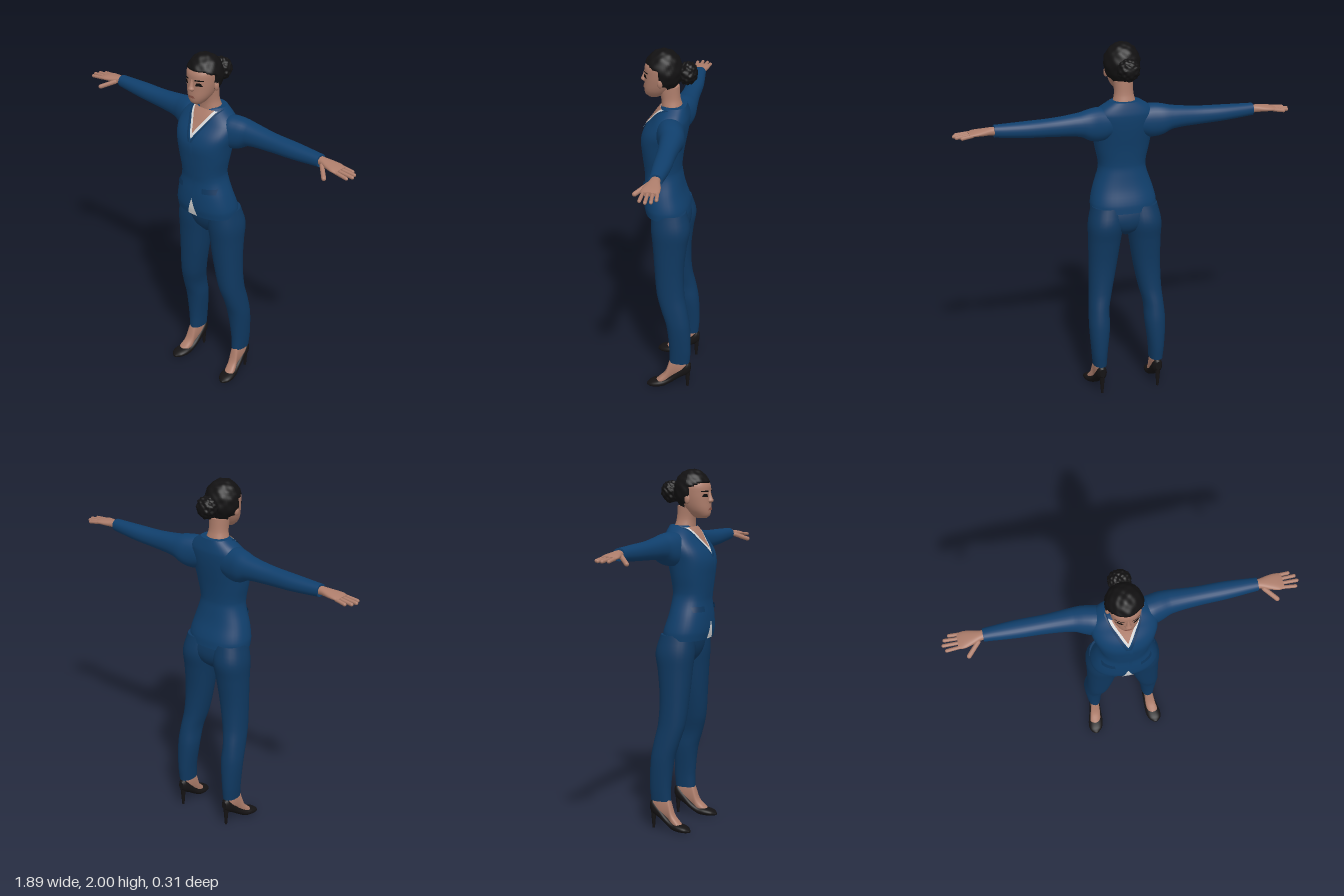
import * as THREE from 'three';

const mat = (name, color, side = THREE.FrontSide) => {
  const m = new THREE.MeshStandardMaterial({ color, side });
  m.name = name;
  return m;
};

// Smooth interpolation of cross-section rows [t, uMin, uMax, vMin, vMax]
function sample(rows, t) {
  let i = 0;
  while (i < rows.length - 2 && t > rows[i + 1][0]) i++;
  const a = rows[i], b = rows[i + 1], p = rows[Math.max(i - 1, 0)], q = rows[Math.min(i + 2, rows.length - 1)];
  const h = b[0] - a[0], s = THREE.MathUtils.clamp((t - a[0]) / h, 0, 1), s2 = s * s, s3 = s2 * s;
  return a.map((_, k) => {
    const ma = (b[k] - p[k]) / (b[0] - p[0]) * h, mb = (q[k] - a[k]) / (q[0] - a[0]) * h;
    return (2 * s3 - 3 * s2 + 1) * a[k] + (s3 - 2 * s2 + s) * ma + (3 * s2 - 2 * s3) * b[k] + (s3 - s2) * mb;
  });
}

// Loft directions: u and v are the two cross-section axes
const alongY = (t, u, v) => [u, t, v];
const alongX = (t, u, v) => [t, v, u];
const alongZ = (t, u, v) => [v, u, t];

// Closed body through superelliptic sections, with capped ends
function loft(rows, map, pow = 2.2, n = 28, sub = 4) {
  const pos = [], idx = [], rings = [];
  const ring = (t, k = 1) => {
    const [, u0, u1, v0, v1] = sample(rows, t);
    rings.push(pos.length / 3);
    for (let j = 0; j < n; j++) {
      const a = j / n * Math.PI * 2, c = Math.cos(a), s = Math.sin(a);
      const u = (u0 + u1) / 2 + k * (u1 - u0) / 2 * Math.sign(c) * Math.abs(c) ** (2 / pow);
      const v = (v0 + v1) / 2 + k * (v1 - v0) / 2 * Math.sign(s) * Math.abs(s) ** (2 / pow);
      pos.push(...map(t, u, v));
    }
  };
  const join = (r0, r1) => {
    for (let j = 0; j < n; j++) {
      const k = (j + 1) % n;
      idx.push(r0 + j, r1 + j, r0 + k, r1 + j, r1 + k, r0 + k);
    }
  };
  const t0 = rows[0][0], t1 = rows[rows.length - 1][0];
  ring(t0, 0.001); ring(t0);
  ring(t0);
  for (let i = 0; i < rows.length - 1; i++)
    for (let s = 1; s <= sub; s++) ring(THREE.MathUtils.lerp(rows[i][0], rows[i + 1][0], s / sub));
  ring(t1); ring(t1, 0.001);
  for (let i = 0; i < rings.length - 1; i++)
    if (i !== 1 && i !== rings.length - 3) join(rings[i], rings[i + 1]);
  const g = new THREE.BufferGeometry();
  g.setAttribute('position', new THREE.Float32BufferAttribute(pos, 3));
  g.setIndex(idx);
  g.computeVertexNormals();
  return g;
}

// Front surface height of an upright loft
function frontZ(rows, x, y, pow) {
  const [, u0, u1, v0, v1] = sample(rows, y);
  const k = Math.min(Math.abs(x - (u0 + u1) / 2) / ((u1 - u0) / 2), 0.99);
  return (v0 + v1) / 2 + (v1 - v0) / 2 * (1 - k ** pow) ** (1 / pow);
}

// Thin plate that follows the front of a loft between two edge functions of y
function patch(rows, pow, y0, y1, left, right, off, n = 12) {
  const g = new THREE.PlaneGeometry(1, 1, n, n), p = g.attributes.position;
  for (let i = 0; i < p.count; i++) {
    const s = p.getY(i) + 0.5, y = THREE.MathUtils.lerp(y0, y1, s);
    const x = THREE.MathUtils.lerp(left(s), right(s), p.getX(i) + 0.5);
    p.setXYZ(i, x, y, frontZ(rows, x, y, pow) + off);
  }
  g.computeVertexNormals();
  return g;
}

function mirrored(geo) {
  const g = geo.clone().scale(-1, 1, 1), ix = g.index;
  for (let i = 0; i < ix.count; i += 3) {
    const a = ix.getX(i);
    ix.setX(i, ix.getX(i + 1));
    ix.setX(i + 1, a);
  }
  return g;
}

// Rounded rod between two points
function rod(a, b, r) {
  const A = new THREE.Vector3(...a), B = new THREE.Vector3(...b), d = B.clone().sub(A);
  const q = new THREE.Quaternion().setFromUnitVectors(new THREE.Vector3(0, 1, 0), d.clone().normalize());
  const m = A.add(B).multiplyScalar(0.5);
  return new THREE.CapsuleGeometry(r, d.length(), 5, 10).applyQuaternion(q).translate(m.x, m.y, m.z);
}

// Lumpy ellipsoid used for hair; keep(v) may pull vertices inward
function curls(c, r, amp, keep = () => 1) {
  const g = new THREE.SphereGeometry(1, 56, 40), p = g.attributes.position, v = new THREE.Vector3();
  for (let i = 0; i < p.count; i++) {
    v.fromBufferAttribute(p, i);
    const lump = 1 + amp * Math.sin(9 * v.x + 2 * v.y) * Math.sin(11 * v.y + 3 * v.z) * Math.cos(8 * v.z);
    const k = lump * keep(v);
    p.setXYZ(i, c[0] + v.x * r[0] * k, c[1] + v.y * r[1] * k, c[2] + v.z * r[2] * k);
  }
  g.computeVertexNormals();
  return g;
}

const TORSO = [
  [1.07, -.185, .185, -.115, .13], [1.12, -.185, .185, -.11, .14], [1.2, -.165, .165, -.085, .14],
  [1.28, -.138, .138, -.07, .135], [1.33, -.132, .132, -.065, .14], [1.42, -.15, .15, -.075, .15],
  [1.5, -.165, .165, -.09, .155], [1.56, -.178, .178, -.1, .135], [1.62, -.175, .175, -.105, .09],
  [1.655, -.145, .145, -.1, .066], [1.695, -.085, .085, -.09, .035]];
const SLEEVE = [
  [.08, -.09, .03, 1.5, 1.65], [.14, -.1, .05, 1.48, 1.665], [.2, -.11, .035, 1.49, 1.662],
  [.26, -.108, .015, 1.52, 1.65], [.4, -.1, 0, 1.533, 1.635], [.55, -.1, -.005, 1.542, 1.63],
  [.725, -.086, -.017, 1.558, 1.625]];
const LEG = [
  [.165, .129, .205, -.142, -.025], [.25, .123, .213, -.148, -.025], [.4, .105, .222, -.142, -.008],
  [.5, .103, .217, -.125, .022], [.6, .08, .21, -.105, .05], [.75, .05, .206, -.1, .065],
  [.9, .027, .206, -.115, .077], [1, .012, .207, -.13, .087], [1.1, .01, .185, -.105, .085]];
const PELVIS = [[.93, -.02, .02, -.06, .03], [.97, -.1, .1, -.105, .065], [1.03, -.17, .17, -.118, .085], [1.11, -.175, .175, -.1, .09]];
const HEAD = [
  [1.735, -.024, .024, .06, .115], [1.75, -.04, .04, .03, .133], [1.78, -.06, .06, 0, .139],
  [1.82, -.074, .074, -.03, .138], [1.87, -.083, .083, -.05, .136], [1.92, -.083, .083, -.055, .13],
  [1.97, -.055, .055, -.03, .08]];
const NECK = [[1.6, -.07, .07, -.07, .05], [1.68, -.064, .064, -.068, .046], [1.73, -.052, .052, -.055, .048], [1.8, -.054, .054, -.05, .07]];
const NOSE = [[1.815, -.01, .01, .12, .14], [1.828, -.019, .019, .12, .157], [1.845, -.012, .012, .12, .151], [1.885, -.007, .007, .115, .137]];
const SHOE = [
  [-.148, .105, .155, .15, .182], [-.13, .085, .168, .138, .194], [-.09, .062, .13, .136, .198],
  [-.04, .028, .076, .137, .205], [0, .006, .052, .137, .217], [.04, 0, .044, .138, .226],
  [.08, 0, .032, .152, .222], [.102, .003, .015, .178, .2]];
const FOOT = [
  [-.125, .1, .19, .147, .188], [-.09, .08, .2, .143, .195], [-.035, .05, .19, .144, .196],
  [-.005, .025, .1, .145, .205], [.03, .015, .058, .152, .212], [.05, .012, .04, .165, .2]];
const PALM = [
  [.7, -.077, -.028, 1.568, 1.615], [.74, -.078, -.024, 1.572, 1.614], [.79, -.09, -.008, 1.573, 1.608],
  [.83, -.094, .002, 1.574, 1.602], [.86, -.09, -.002, 1.573, 1.594]];

export function createModel() {
  const jacket = mat('jacket blue', 0x103f6c), trousers = mat('trouser blue', 0x0f3860);
  const trim = mat('jacket trim blue', 0x0d365e, THREE.DoubleSide);
  const skin = mat('skin', 0xad7d6b, THREE.DoubleSide), lips = mat('lips', 0x8c5548, THREE.DoubleSide);
  const hair = mat('hair black', 0x121112), shoe = mat('shoe black', 0x151314);
  const shirt = mat('shirt white', 0xd6d6d6, THREE.DoubleSide), eye = mat('eye dark', 0x0c0a0a, THREE.DoubleSide);

  const root = new THREE.Group();
  root.name = 'woman';
  const add = (name, g, m) => {
    const mesh = new THREE.Mesh(g, m);
    mesh.name = name;
    root.add(mesh);
  };
  const pair = (name, g, m) => {
    add('left ' + name, g, m);
    add('right ' + name, mirrored(g), m);
  };
  const onTorso = (...a) => patch(TORSO, 2.3, ...a);
  const onFace = (...a) => patch(HEAD, 2.2, ...a);

  // Jacket with neck opening, lapels, front edge and pocket flaps
  add('jacket', loft(TORSO, alongY, 2.3, 40), jacket);
  pair('sleeve', loft(SLEEVE, alongX), jacket);
  add('shirt', onTorso(1.54, 1.685, s => -.086 * s, s => .086 * s, .004), shirt);
  add('chest', onTorso(1.57, 1.688, s => -.068 * s, s => .068 * s, .008), skin);
  pair('lapel', onTorso(1.525, 1.69, s => .086 * s, s => .012 + .088 * s, .008), trim);
  add('front edge', onTorso(1.2, 1.535, () => .004, () => .022, .005), jacket);
  add('shirt hem', onTorso(1.075, 1.18, s => -.034 * (1 - s), s => .034 * (1 - s), .004), shirt);
  pair('pocket flap', onTorso(1.228, 1.258, () => .07, () => .138, .009), trim);

  // Trousers
  add('hips', loft(PELVIS, alongY, 2.3), trousers);
  pair('trouser leg', loft(LEG, alongY), trousers);

  // Feet in high-heeled shoes
  pair('foot', loft(FOOT, alongZ), skin);
  pair('shoe', loft(SHOE, alongZ), shoe);
  pair('heel', new THREE.CylinderGeometry(.016, .007, .11, 12).translate(.166, .055, -.131), shoe);

  // Hands
  pair('palm', loft(PALM, alongX), skin);
  [[-.083, -.088, .9], [-.06, -.066, .927], [-.036, -.038, .936], [-.012, -.008, .922]].forEach(([z0, z1, x], i) => {
    pair('finger ' + (i + 1), rod([.845, 1.584, z0], [x, 1.576, z1], .0095), skin);
  });
  pair('thumb', rod([.755, 1.585, -.022], [.815, 1.556, .036], .0125), skin);

  // Head and face
  add('neck', loft(NECK, alongY), skin);
  add('head', loft(HEAD, alongY, 2.2, 36), skin);
  add('nose', loft(NOSE, alongY, 2, 16), skin);
  pair('eye', onFace(1.851, 1.868, s => .024 + .008 * s, s => .06 - .008 * s, .003), eye);
  pair('eyebrow', onFace(1.878, 1.885, () => .02, () => .064, .003), eye);
  add('mouth', onFace(1.779, 1.792, s => -.026 + .01 * s, s => .026 - .01 * s, .004), lips);
  pair('ear', new THREE.SphereGeometry(1, 14, 12).scale(.012, .026, .016).translate(.088, 1.84, .04), skin);

  // Short hair with the face left open, and a bun behind
  add('hair', curls([0, 1.885, .035], [.1, .115, .103], .035, v => {
    const line = .36 - .5 * Math.max(0, Math.abs(v.x) - .6);
    return (v.z > .12 && v.y < line) || (v.z > -.25 && v.y < -.6) ? .7 : 1;
  }), hair);
  add('bun', curls([0, 1.875, -.095], [.06, .06, .052], .1), hair);
  return root;
}
